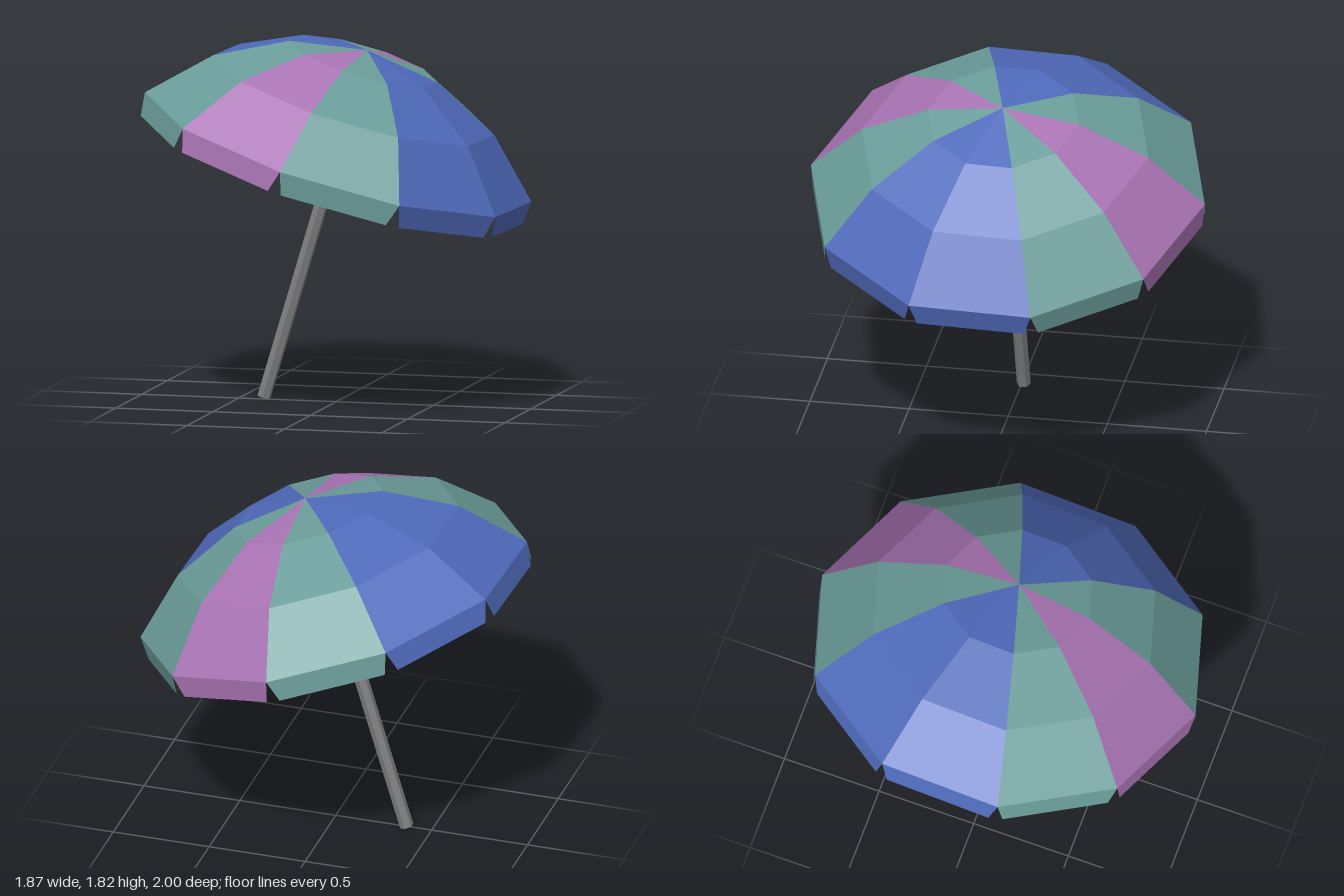
import * as THREE from 'three';

const SIDES = 10;
const STEP = (Math.PI * 2) / SIDES;
const START = THREE.MathUtils.degToRad(-16);
const SPHERE = 1.23;        // canopy is a cap of this sphere
const CAP_ANGLE = 0.949;    // polar angle of the rim
const RINGS = 3;
const FLAP_DROP = 0.113;
const FLAP_INSET = 0.06;    // share of the edge cut away at each lower corner

function material(name, color, side = THREE.FrontSide) {
  const m = new THREE.MeshStandardMaterial({ color, side, flatShading: true });
  m.name = name;
  return m;
}

// Point on the cap: ring 0 is the apex, ring RINGS is the rim at y = 0
function capPoint(ring, angle) {
  const p = (ring / RINGS) * CAP_ANGLE;
  const r = SPHERE * Math.sin(p);
  const y = SPHERE * (Math.cos(p) - Math.cos(CAP_ANGLE));
  return new THREE.Vector3(r * Math.cos(angle), y, r * Math.sin(angle));
}

function facesMesh(name, triangles, mat) {
  const geo = new THREE.BufferGeometry().setFromPoints(triangles);
  geo.computeVertexNormals();
  const mesh = new THREE.Mesh(geo, mat);
  mesh.name = name;
  return mesh;
}

const quad = (a, b, c, d) => [a, b, c, a, c, d];

export function createModel() {
  const model = new THREE.Group();
  model.name = 'beachUmbrella';

  const blue = material('blue cloth', 0x4f6abb, THREE.DoubleSide);
  const teal = material('teal cloth', 0x6a9c99, THREE.DoubleSide);
  const purple = material('purple cloth', 0xa873b3, THREE.DoubleSide);
  const grey = material('grey metal', 0x808080);
  const pattern = [blue, blue, teal, purple, teal];

  // Everything leans together, with the origin at the rim centre
  const umbrella = new THREE.Group();
  umbrella.name = 'umbrella';
  umbrella.position.set(0.01, 1.278, 0);
  umbrella.rotation.z = -0.294;
  model.add(umbrella);

  for (let i = 0; i < SIDES; i++) {
    const a = START + i * STEP;
    const b = a + STEP;
    const mat = pattern[i % pattern.length];

    // Canopy panel from apex to rim
    const tris = [capPoint(0, a), capPoint(1, b), capPoint(1, a)];
    for (let r = 1; r < RINGS; r++) {
      tris.push(...quad(capPoint(r, a), capPoint(r, b), capPoint(r + 1, b), capPoint(r + 1, a)));
    }
    umbrella.add(facesMesh('canopyPanel', tris, mat));

    // Hanging flap with tapered ends
    const ra = capPoint(RINGS, a);
    const rb = capPoint(RINGS, b);
    const la = ra.clone().lerp(rb, FLAP_INSET);
    const lb = rb.clone().lerp(ra, FLAP_INSET);
    la.y -= FLAP_DROP;
    lb.y -= FLAP_DROP;
    umbrella.add(facesMesh('valanceFlap', quad(ra, rb, lb, la), mat));
  }

  // Hexagonal pole up to the apex
  const bottom = -1.326;
  const top = 0.49;
  const pole = new THREE.Mesh(new THREE.CylinderGeometry(0.035, 0.035, top - bottom, 6), grey);
  pole.name = 'pole';
  pole.position.set(0, (top + bottom) / 2, -0.006);
  pole.rotation.x = 0.007;
  umbrella.add(pole);

  return model;
}
